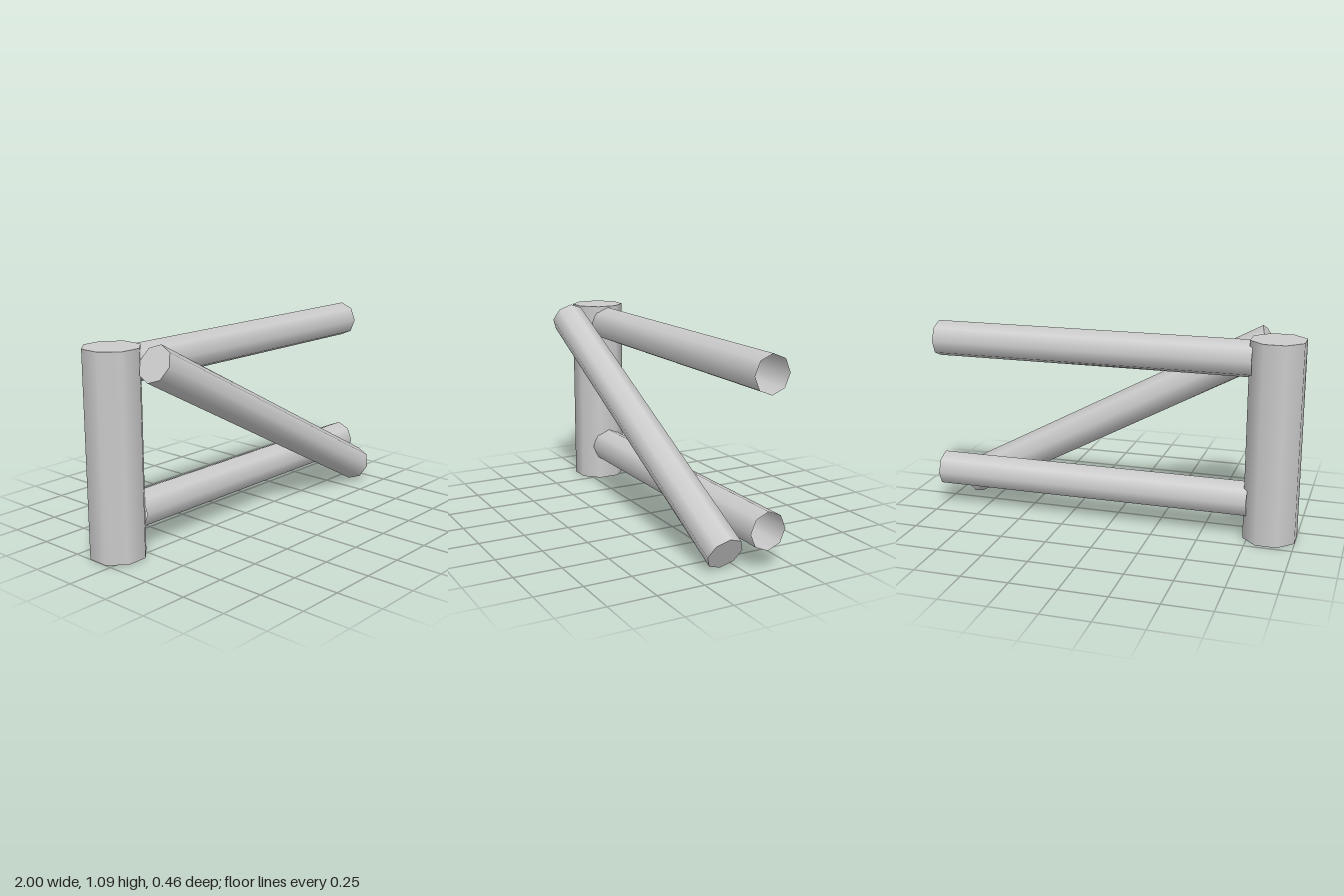
import * as THREE from 'three';

const SIDES = 8;

export function createModel() {
  const group = new THREE.Group();
  const material = new THREE.MeshStandardMaterial({ color: 0xcccccc, side: THREE.DoubleSide });

  // Eight-sided pole running from one point to another
  function pole(name, from, to, radius, open, turn = 0) {
    const a = new THREE.Vector3(...from);
    const b = new THREE.Vector3(...to);
    const geometry = new THREE.CylinderGeometry(radius, radius, a.distanceTo(b), SIDES, 1, open);
    geometry.rotateY(turn);
    const mesh = new THREE.Mesh(geometry, material);
    mesh.name = name;
    mesh.position.copy(a).add(b).multiplyScalar(0.5);
    mesh.quaternion.setFromUnitVectors(new THREE.Vector3(0, 1, 0), b.sub(a).normalize());
    group.add(mesh);
  }

  // Upright post: flat sides face the axes, open below, closed on top
  const postRadius = 0.148, postX = -0.863, postZ = -0.093, postHeight = 1.065;
  pole('post', [postX, 0, postZ], [postX, postHeight, postZ], postRadius, true, Math.PI / SIDES);
  const cap = new THREE.Mesh(new THREE.CircleGeometry(postRadius, SIDES, Math.PI / SIDES), material);
  cap.name = 'postCap';
  cap.rotation.x = -Math.PI / 2;
  cap.position.set(postX, postHeight, postZ);
  group.add(cap);

  // Two hollow horizontal rails
  for (const [name, y] of [['lowerRail', 0.202], ['upperRail', 0.959]]) {
    pole(name, [-0.745, y, -0.098], [1, y, -0.098], 0.098, true);
  }

  // Closed diagonal brace leaning across the front
  pole('diagonalBrace', [0.912, 0.092, 0.085], [-0.795, 1.0, 0.13], 0.098, false);

  return group;
}
